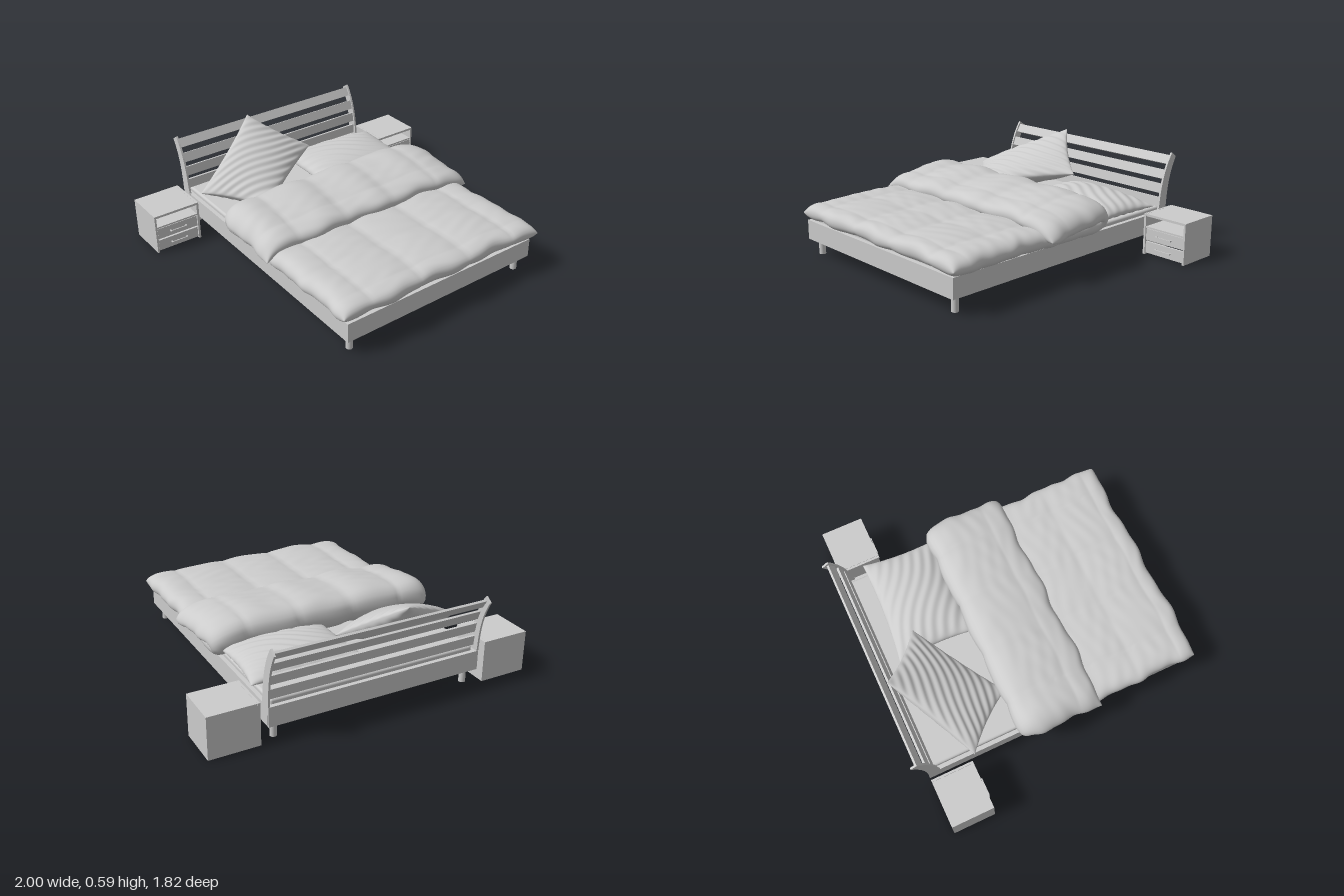
import * as THREE from 'three';
import { RoundedBoxGeometry } from 'three/addons/geometries/RoundedBoxGeometry.js';

const material = new THREE.MeshStandardMaterial({ color: 0xcccccc, side: THREE.DoubleSide });

function add(parent, name, geometry, x = 0, y = 0, z = 0) {
  const mesh = new THREE.Mesh(geometry, material);
  mesh.name = name;
  mesh.position.set(x, y, z);
  parent.add(mesh);
  return mesh;
}

// Box given by its limits on each axis
function slab(parent, name, x0, x1, y0, y1, z0, z1) {
  return add(parent, name, new THREE.BoxGeometry(x1 - x0, y1 - y0, z1 - z0),
    (x0 + x1) / 2, (y0 + y1) / 2, (z0 + z1) / 2);
}

// Closed smooth padded body: rings along v, each running over the top and back underneath
function padded(rings, half, point) {
  const pos = [], index = [], n = half * 2;
  for (let i = 0; i <= rings; i++) {
    const v = -Math.cos((i / rings) * Math.PI);
    for (let j = 0; j < n; j++) {
      const u = -Math.cos((j / half) * Math.PI);
      pos.push(...point(u, v, j < half ? 1 : -1).toArray());
    }
  }
  for (let i = 0; i < rings; i++) {
    for (let j = 0; j < n; j++) {
      const a = i * n + j, b = i * n + (j + 1) % n;
      index.push(a, b, a + n, b, b + n, a + n);
    }
  }
  const g = new THREE.BufferGeometry();
  g.setAttribute('position', new THREE.Float32BufferAttribute(pos, 3));
  g.setIndex(index);
  g.computeVertexNormals();
  return g;
}

// Duvet swept along a side path (z, y) that folds back over itself
function duvetGeometry() {
  const path = new THREE.SplineCurve([
    [0.9, 0.262], [0.5, 0.266], [0.2, 0.262], [-0.08, 0.262], [-0.18, 0.28], [-0.214, 0.325],
    [-0.17, 0.364], [-0.05, 0.358], [0.1, 0.342], [0.25, 0.317],
  ].map((p) => new THREE.Vector2(...p)));
  const seam = (t) => Math.pow(Math.abs(Math.cos(t)), 0.6);
  return padded(170, 90, (u, v, side) => {
    const s = (v + 1) / 2;
    const c = path.getPointAt(s), d = path.getTangentAt(s);
    const upper = THREE.MathUtils.smoothstep(s, 0.6, 0.76);
    const width = 0.692 + 0.042 * upper + 0.006 * Math.sin(s * 34) + 0.003 * Math.sin(s * 71 + u * 2);
    const x = u * width + 0.005 * Math.sin(s * 15);
    const round = Math.sqrt(Math.max(0, (1 - Math.abs(u) ** 18) * (1 - Math.abs(v) ** 24)));
    const quilt = 0.66 + 0.28 * seam((Math.PI * x) / 0.335) + 0.13 * seam(s * 18.5 + 0.4);
    const wrinkle = 0.0008 * Math.sin(x * 31 + 5 * Math.sin(s * 22))
      + 0.0008 * Math.sin(s * 120 + 3 * Math.sin(x * 9));
    const h = side * round * (0.058 * quilt + wrinkle);
    const droop = (0.012 + 0.043 * upper) * Math.abs(u) ** 8;
    const hem = (0.009 * Math.sin(x * 13) + 0.004 * Math.sin(x * 29)) * Math.abs(v) ** 6;
    return new THREE.Vector3(x, c.y - d.x * h - droop + 0.005 * Math.sin(x * 17) * upper,
      c.x + d.y * h + hem);
  });
}

// Pillow stretched between four corners: front left, front right, back left, back right (as x grows)
function pillowGeometry(corners, topThick, bottomThick, wrinkle) {
  const [fl, fr, bl, br] = corners.map((c) => new THREE.Vector3(...c));
  const up = fr.clone().sub(fl).add(br).sub(bl)
    .cross(bl.clone().sub(fl).add(br).sub(fr)).normalize();
  return padded(110, 70, (u, v, side) => {
    const a = (u * (1 - 0.06 * (1 - v * v)) + 1) / 2;
    const b = (v * (1 - 0.06 * (1 - u * u)) + 1) / 2;
    const p = fl.clone().lerp(fr, a).lerp(bl.clone().lerp(br, a), b);
    const puff = Math.pow(Math.max(0, (1 - u * u) * (1 - v * v)), 0.45);
    const thick = side > 0 ? topThick : bottomThick;
    return p.addScaledVector(up, side * (thick * puff + wrinkle(u, v) * Math.min(1, puff * 2)));
  });
}

function bedsideTable(side) {
  const g = new THREE.Group();
  g.name = side > 0 ? 'leftBedsideTable' : 'rightBedsideTable';
  const z0 = -0.835, z1 = -0.573;
  const part = (name, a, b, y0, y1, za, zb) =>
    slab(g, name, Math.min(a * side, b * side), Math.max(a * side, b * side), y0, y1, za, zb);
  part('tableTop', 0.719, 1, 0.238, 0.252, z0, z1);
  part('innerSide', 0.704, 0.718, 0, 0.252, z0, z1);
  part('outerSide', 0.988, 1, 0, 0.238, z0, z1);
  part('backPanel', 0.718, 0.988, 0, 0.238, z0, z0 + 0.012);
  part('shelf', 0.718, 0.988, 0.164, 0.174, z0 + 0.012, z1 - 0.004);
  for (const y of [0.012, 0.092]) {
    part('drawerFront', 0.722, 0.986, y, y + 0.07, z1 - 0.018, z1 - 0.003);
    const hy = y + 0.034;
    part('handleBar', 0.796, 0.906, hy - 0.004, hy + 0.004, -0.566, -0.56);
    for (const hx of [0.8, 0.902]) {
      part('handlePost', hx - 0.004, hx + 0.004, hy - 0.004, hy + 0.004, z1 - 0.006, -0.563);
    }
  }
  return g;
}

function headboard() {
  const g = new THREE.Group();
  g.name = 'headboard';
  // Curved side posts drawn in (z, y)
  const shape = new THREE.Shape();
  shape.moveTo(-0.71, 0.1);
  shape.quadraticCurveTo(-0.755, 0.17, -0.77, 0.25);
  shape.bezierCurveTo(-0.78, 0.36, -0.805, 0.47, -0.873, 0.565);
  shape.lineTo(-0.912, 0.538);
  shape.bezierCurveTo(-0.86, 0.45, -0.842, 0.36, -0.836, 0.25);
  shape.lineTo(-0.825, 0.1);
  const post = new THREE.ExtrudeGeometry(shape, { depth: 0.012, bevelEnabled: false, curveSegments: 14 });
  post.rotateY(-Math.PI / 2); // shape x becomes z, depth runs to -x
  for (const x of [-0.65, 0.662]) add(g, 'headboardPost', post, x);
  // Slats follow the lean of the posts
  const slats = [[0.519, -0.864, 0.56], [0.435, -0.823, 0.36], [0.35, -0.803, 0.18], [0.265, -0.796, 0.08]];
  for (const [y, z, tilt] of slats) {
    add(g, 'headboardSlat', new THREE.BoxGeometry(1.3, 0.058, 0.014), 0, y, z).rotation.x = -tilt;
  }
  return g;
}

export function createModel() {
  const model = new THREE.Group();
  model.name = 'bedWithBedsideTables';

  // Frame rails and legs
  const frame = new THREE.Group();
  frame.name = 'bedFrame';
  for (const s of [-1, 1]) {
    slab(frame, 'sideRail', s > 0 ? 0.635 : -0.66, s > 0 ? 0.66 : -0.635, 0.092, 0.21, -0.835, 0.883);
    for (const z of [0.826, -0.775]) {
      add(frame, 'leg', new THREE.CylinderGeometry(0.02, 0.02, 0.16, 20), s * 0.607, 0.08, z);
    }
  }
  slab(frame, 'footRail', -0.635, 0.635, 0.092, 0.21, 0.858, 0.883);
  slab(frame, 'headRail', -0.635, 0.635, 0.092, 0.21, -0.835, -0.81);
  slab(frame, 'basePanel', -0.635, 0.635, 0.16, 0.172, -0.81, 0.858);
  model.add(frame, headboard());

  // Mattress and bedding
  add(model, 'mattress', new RoundedBoxGeometry(1.27, 0.066, 1.66, 3, 0.015), 0, 0.203, 0.024);
  add(model, 'duvet', duvetGeometry());
  add(model, 'flatPillow', pillowGeometry(
    [[0.01, 0.265, -0.22], [0.66, 0.265, -0.22], [0.01, 0.28, -0.72], [0.685, 0.27, -0.685]], 0.085, 0.045,
    (u, v) => 0.003 * Math.sin(20 * v + 13 * u + 2 * Math.sin(u * 3 - v))));
  add(model, 'leaningPillow', pillowGeometry(
    [[-0.41, 0.275, -0.23], [0.13, 0.38, -0.58], [-0.69, 0.32, -0.55], [-0.17, 0.588, -0.838]], 0.06, 0.11,
    (u, v) => 0.0035 * Math.sin(20 * (u + v) + 1.5 * Math.sin((u - v) * 2.2))));

  model.add(bedsideTable(1), bedsideTable(-1));
  return model;
}
